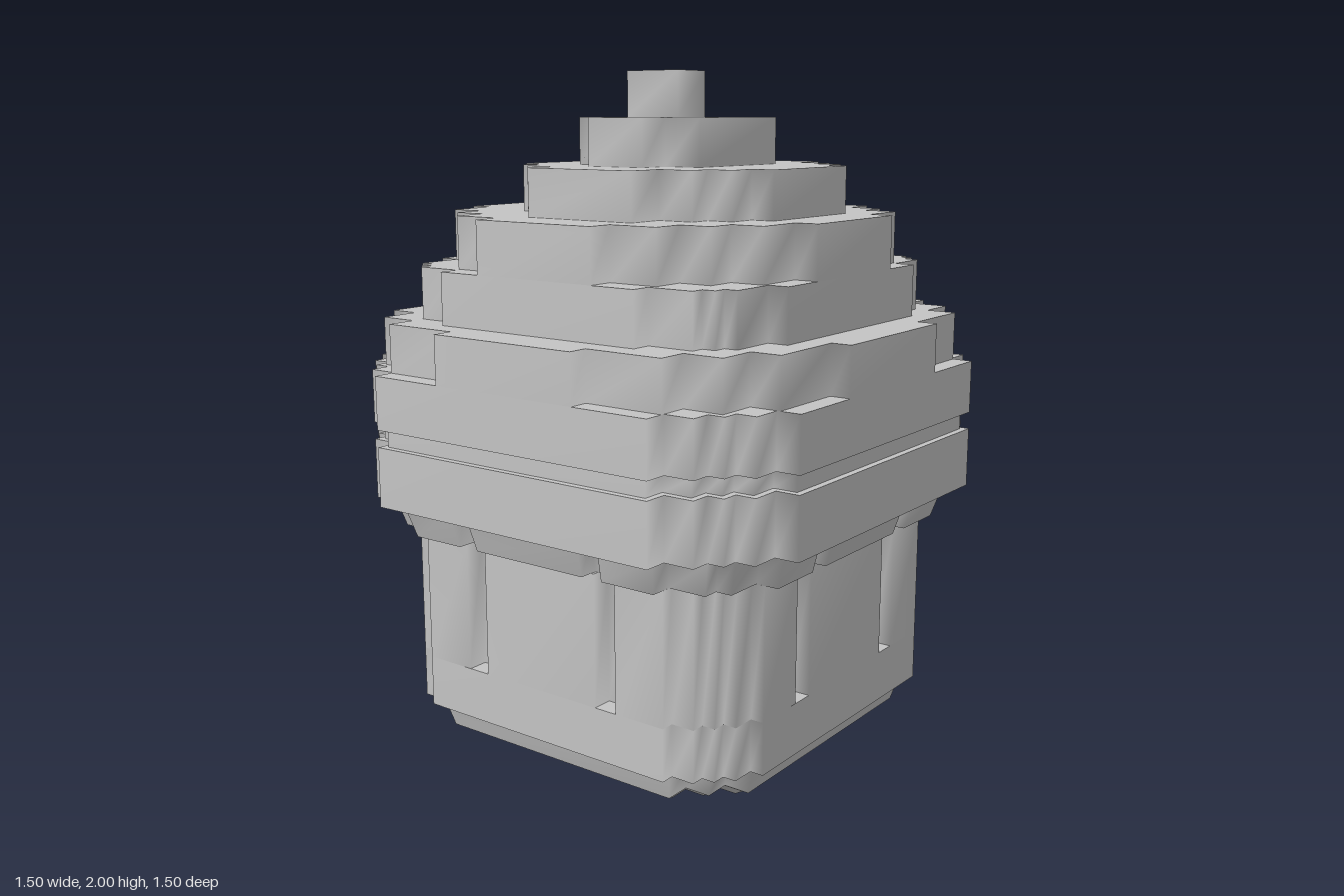
import * as THREE from 'three';

const grey = new THREE.MeshStandardMaterial({ color: 0xc4c4c4 });
grey.name = 'plain grey';

// Stepped outline from the outer corners of one quadrant, listed from the front face to the side face.
function steppedOutline(corners, groove) {
  const quarter = [];
  corners.forEach(([x, z], i) => {
    quarter.push([x, z]);
    if (corners[i + 1]) quarter.push([x, corners[i + 1][1]]);
  });
  if (groove) {
    const [a, b, d] = groove;
    const z = corners[0][1], x = corners[corners.length - 1][0];
    quarter.unshift([a, z], [a, z - d], [b, z - d], [b, z]);
    quarter.push([x, b], [x - d, b], [x - d, a], [x, a]);
  }
  const back = [...quarter].reverse();
  return [
    ...back,
    ...quarter.map(([x, z]) => [-x, z]),
    ...back.map(([x, z]) => [-x, -z]),
    ...quarter.map(([x, z]) => [x, -z]),
  ];
}

// Closed slab: walls share vertices for soft steps, caps stay flat.
function slabGeometry(outline, y0, y1, bottomScale, cx, cz) {
  const n = outline.length;
  const ring = (y, s) => outline.flatMap(([x, z]) => [cx + x * s, y, cz + z * s]);
  const low = ring(y0, bottomScale), high = ring(y1, 1);
  const index = [];
  for (let i = 0; i < n; i++) {
    const j = (i + 1) % n;
    index.push(i, n + i, j, j, n + i, n + j);
  }
  const flat = outline.map(([x, z]) => new THREE.Vector2(x, z));
  for (const [a, b, c] of THREE.ShapeUtils.triangulateShape(flat, [])) {
    index.push(2 * n + a, 2 * n + b, 2 * n + c);
    index.push(3 * n + a, 3 * n + c, 3 * n + b);
  }
  const geometry = new THREE.BufferGeometry();
  geometry.setAttribute('position', new THREE.Float32BufferAttribute([...low, ...high, ...low, ...high], 3));
  geometry.setIndex(index);
  geometry.computeVertexNormals();
  return geometry;
}

export function createModel() {
  const model = new THREE.Group();
  model.name = 'cupcake';
  const cup = new THREE.Group();
  cup.name = 'cup';
  const frosting = new THREE.Group();
  frosting.name = 'frosting';
  model.add(cup, frosting);

  const slab = (parent, name, y0, y1, corners, { groove, scale = 1, cx = 0, cz = 0 } = {}) => {
    const mesh = new THREE.Mesh(slabGeometry(steppedOutline(corners, groove), y0, y1, scale, cx, cz), grey);
    mesh.name = name;
    parent.add(mesh);
  };

  // Cup: foot, rounded base, grooved wall and flared collar
  const wall = [[0.43, 0.62], [0.5, 0.58], [0.54, 0.54], [0.58, 0.5], [0.62, 0.43]];
  const groove = [0.2, 0.27, 0.06];
  slab(cup, 'foot', 0, 0.04, [[0.2, 0.41], [0.32, 0.37], [0.37, 0.32], [0.41, 0.2]], { scale: 0.97 });
  slab(cup, 'footRing', 0.03, 0.07, [[0.4, 0.54], [0.47, 0.47], [0.54, 0.4]], { scale: 0.9 });
  slab(cup, 'base', 0.07, 0.15, [[0.42, 0.58], [0.5, 0.5], [0.58, 0.42]], { scale: 0.96 });
  slab(cup, 'lowerWall', 0.15, 0.3, wall);
  slab(cup, 'groovedWall', 0.3, 0.68, wall, { groove });
  slab(cup, 'collar', 0.68, 0.78, [[0.45, 0.69], [0.57, 0.62], [0.62, 0.57], [0.69, 0.45]], { groove, scale: 0.955 });

  // Frosting: wide lower bands with a shallow seam
  const wide = [[0.48, 0.75], [0.57, 0.68], [0.62, 0.62], [0.68, 0.57], [0.75, 0.48]];
  slab(frosting, 'lowerBand', 0.78, 0.955, wide);
  slab(frosting, 'bandSeam', 0.955, 1.005, wide.map(([x, z]) => [x - 0.02, z - 0.02]));
  slab(frosting, 'middleBand', 1.005, 1.16, wide);
  slab(frosting, 'upperBand', 1.16, 1.3, [[0.24, 0.75], [0.48, 0.69], [0.6, 0.6], [0.69, 0.48], [0.75, 0.24]]);

  // Frosting: tiers narrowing towards the tip
  slab(frosting, 'firstTier', 1.3, 1.45, [[0.34, 0.62], [0.48, 0.56], [0.52, 0.52], [0.56, 0.48], [0.62, 0.34]]);
  slab(frosting, 'secondTier', 1.45, 1.6, [[0.2, 0.62], [0.35, 0.55], [0.44, 0.45], [0.54, 0.35], [0.62, 0.2]]);
  slab(frosting, 'thirdTier', 1.6, 1.735, [[0.19, 0.44], [0.28, 0.37], [0.35, 0.29], [0.47, 0.18]], { cz: 0.035 });
  slab(frosting, 'fourthTier', 1.735, 1.87, [[0.19, 0.215], [0.295, 0.095]], { cz: 0.02 });
  slab(frosting, 'tip', 1.87, 2, [[0.065, 0.09]], { cx: -0.065, cz: 0.025 });
  slab(frosting, 'tipNub', 1.87, 2, [[0.035, 0.04]], { cx: 0.025, cz: 0.015 });

  return model;
}
